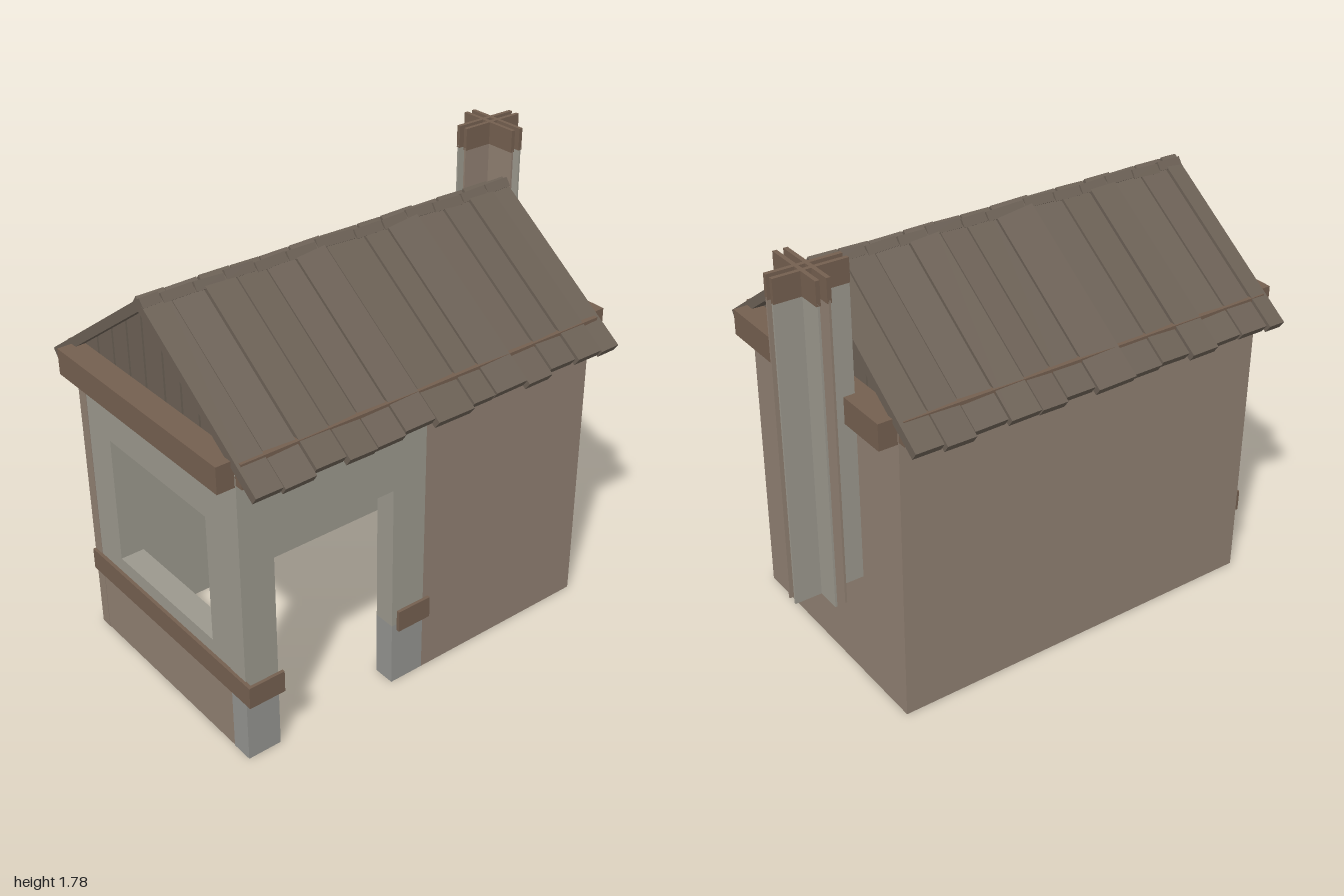
import * as THREE from 'three';

const mat = (color) => new THREE.MeshStandardMaterial({ color, flatShading: true, side: THREE.DoubleSide, roughness: 1 });

export function createModel() {
  const model = new THREE.Group();
  const plaster = mat(0x9b988d), stone = mat(0x93938f), clay = mat(0x8f7f71);
  const timber = mat(0x745f4f), shingle = mat(0x6b6055), dark = mat(0x3c342e);

  // Box given by its limits on each axis
  const box = (name, m, [x0, x1], [y0, y1], [z0, z1], parent = model) => {
    const mesh = new THREE.Mesh(new THREE.BoxGeometry(x1 - x0, y1 - y0, z1 - z0), m);
    mesh.position.set((x0 + x1) / 2, (y0 + y1) / 2, (z0 + z1) / 2);
    mesh.name = name;
    parent.add(mesh);
    return mesh;
  };
  // Upright polygon in the z-y plane, extruded along x
  const sidePanel = (name, m, points, x, depth) => {
    const shape = new THREE.Shape(points.map(([z, y]) => new THREE.Vector2(-z, y)));
    const mesh = new THREE.Mesh(new THREE.ExtrudeGeometry(shape, { depth, bevelEnabled: false }), m);
    mesh.rotation.y = Math.PI / 2;
    mesh.position.x = x;
    mesh.name = name;
    model.add(mesh);
  };

  const H = 1.22, L = -0.93, R = 0.69, D = 0.51;

  // Solid walls: clay outside, plaster lining inside
  box('backWall', clay, [L, R], [0, H], [-D, -0.46]);
  box('backLining', plaster, [L + 0.05, R - 0.05], [0, H], [-0.46, -0.42]);
  box('rightWall', clay, [R - 0.05, R], [0, H], [-0.46, D]);
  box('rightLining', plaster, [R - 0.09, R - 0.05], [0, H], [-0.42, 0.42]);
  box('frontWall', clay, [-0.115, R - 0.05], [0, H], [0.46, D]);
  box('frontLining', plaster, [-0.115, R - 0.05], [0, H], [0.42, 0.46]);

  // Front wall around the doorway
  for (const [x0, x1] of [[L, -0.79], [-0.265, -0.115]]) {
    box('doorPier', plaster, [x0, x1], [0.27, H], [0.42, D]);
    box('doorPierBase', stone, [x0, x1], [0, 0.27], [0.42, D]);
    box('doorTrim', timber, [x0, x1], [0.27, 0.36], [0.537, 0.55]);
  }
  box('doorLintel', plaster, [-0.79, -0.265], [0.88, H], [0.42, D]);

  // End wall around the window
  const wx = [L + 0.002, L + 0.1];
  box('windowWallBase', clay, wx, [0, 0.3], [-0.46, D - 0.002]);
  box('windowSill', plaster, wx, [0.3, 0.42], [-0.46, D - 0.002]);
  box('windowHead', plaster, wx, [0.95, H], [-0.46, D - 0.002]);
  box('windowSide', plaster, wx, [0.42, 0.95], [-0.508, -0.31]);
  box('windowSide', plaster, wx, [0.42, 0.95], [0.31, D - 0.002]);
  box('windowTrim', timber, [L - 0.012, L + 0.003], [0.27, 0.36], [-D, 0.55]);

  // Beams round the top of the walls
  box('leftBeam', timber, [-1, L + 0.03], [1.17, 1.275], [-0.505, 0.505]);
  box('rightBeam', timber, [R - 0.03, 0.765], [1.17, 1.275], [-0.505, 0.505]);
  for (const s of [-1, 1]) {
    const z = [s * 0.495, s * 0.545].sort((a, b) => a - b);
    box('eaveBeam', timber, [L, R], [1.18, 1.277], z);
  }

  // Gable boards with dark gaps between them
  const top = (z) => 1.61 - 0.7 * Math.abs(z);
  const cuts = [-0.5, -0.38, -0.27, -0.165, -0.06, 0.06, 0.165, 0.27, 0.38, 0.5];
  for (const x of [L + 0.03, R - 0.06]) {
    sidePanel('gableBacking', dark, [[-0.5, 1.2], [0.5, 1.2], [0.5, top(0.5)], [0, top(0)], [-0.5, top(0.5)]], x + 0.01, 0.01);
    for (let i = 0; i < cuts.length - 1; i++) {
      const a = cuts[i] + 0.006, b = cuts[i + 1] - 0.006;
      const ridge = a < 0 && b > 0 ? [[0, top(0)]] : [];
      sidePanel('gableBoard', shingle, [[a, 1.2], [b, 1.2], [b, top(b)], ...ridge, [a, top(a)]], x, 0.03);
    }
  }

  // Roof planks, slightly uneven in length, height and tilt
  const slope = Math.atan(0.7);
  const frontEdges = [-0.945, -0.83, -0.7, -0.57, -0.445, -0.32, -0.185, -0.013, 0.095, 0.245, 0.365, 0.495, 0.62, 0.71];
  const backEdges = [-0.945, -0.865, -0.735, -0.61, -0.485, -0.35, -0.22, -0.05, 0.08, 0.195, 0.325, 0.465, 0.59, 0.71];
  [frontEdges, backEdges].forEach((edges, side) => {
    const roof = new THREE.Group();
    roof.name = side ? 'backRoof' : 'frontRoof';
    roof.position.y = 1.65;
    roof.rotation.x = side ? -slope : slope;
    const s = side ? -1 : 1;
    for (let i = 0; i < edges.length - 1; i++) {
      const end = 0.782 + 0.01 * Math.sin(i * 2.3 + side);
      const z = [-0.015 * s, end * s].sort((a, b) => a - b);
      const plank = box('roofPlank', shingle, [edges[i] + 0.003, edges[i + 1] - 0.003], [-0.037, 0], z, roof);
      plank.position.y += 0.004 * Math.sin(i * 4.1 + side * 2);
      plank.rotation.z = 0.04 * Math.sin(i * 1.7 + side);
    }
    box('roofUnderlay', dark, [-0.93, 0.7], [-0.031, -0.016], side ? [-0.76, 0] : [0, 0.76], roof);
    model.add(roof);
  });

  // Chimney of four crossing slabs, each with a timber cap band
  const cx = [0.72, 1], cz = [-0.385, -0.11];
  const body = [0.51, 1.7], cap = [1.69, 1.78];
  const around = (v, t) => [v - t, v + t];
  for (const [z, m] of [[-0.285, plaster], [-0.245, clay]]) {
    box('chimneySlab', m, cx, body, around(z, 0.004));
    box('chimneyCap', timber, cx, cap, around(z, 0.008));
  }
  for (const [x, m] of [[0.85, clay], [0.89, plaster]]) {
    box('chimneySlab', m, around(x, 0.004), body, cz);
    box('chimneyCap', timber, around(x, 0.008), cap, cz);
  }
  return model;
}
